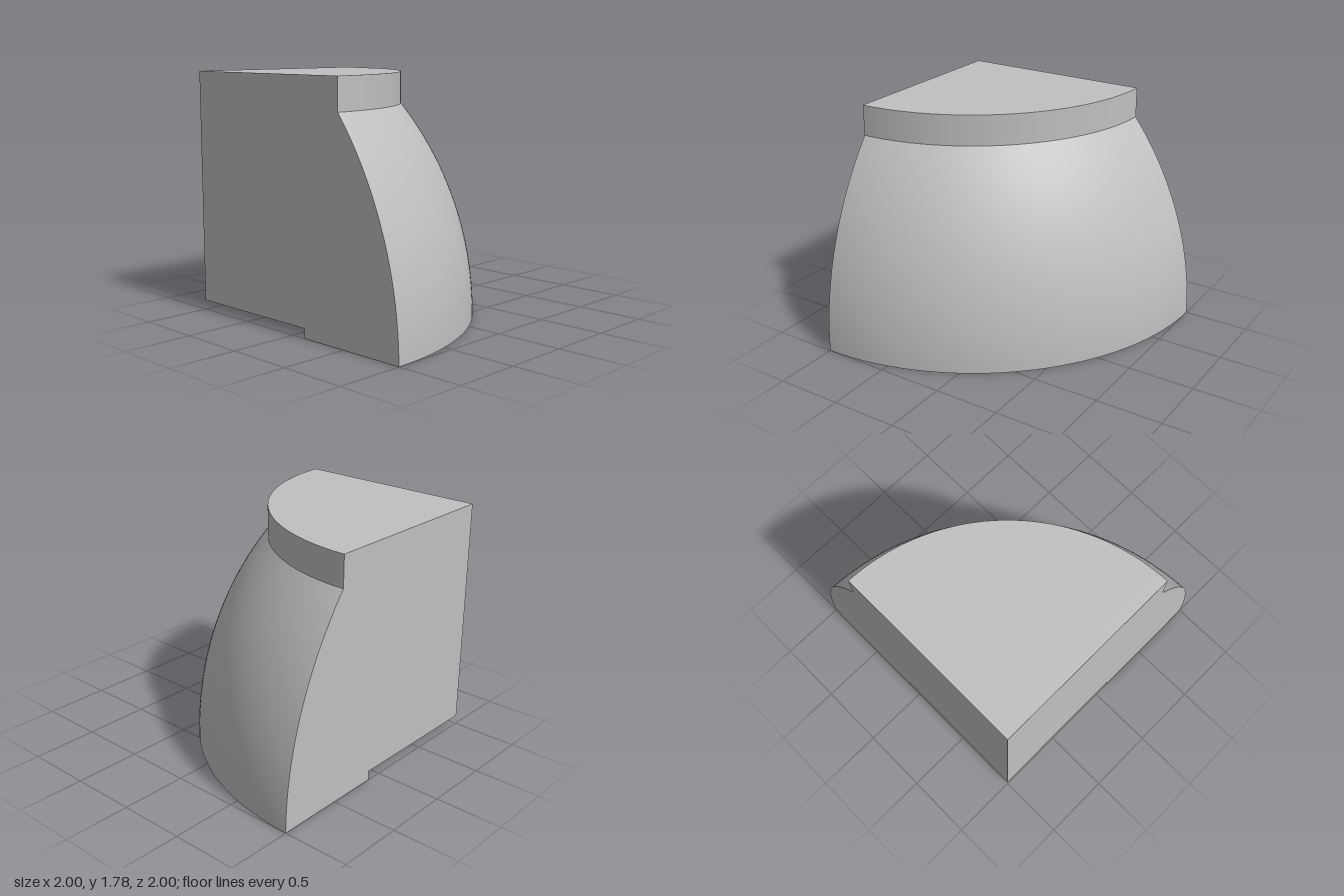
import * as THREE from 'three';

const RECESS_R = 1.12, RECESS_H = 0.07;
const BASE_R = 2, NECK_R = 1.465, NECK_Y = 1.55, TOP_Y = 1.78;
const ARC_R = 2.51; // radius of the curved flank, tangent to vertical at the base

export function createModel() {
  const group = new THREE.Group();
  const grey = new THREE.MeshStandardMaterial({ color: 0xc0c0c0 });
  const V = (r, y) => new THREE.Vector2(r, y);

  const flank = [];
  for (let i = 0; i <= 32; i++) {
    const y = (NECK_Y * i) / 32;
    flank.push(V(BASE_R - ARC_R + Math.sqrt(ARC_R * ARC_R - y * y), y));
  }
  flank[32].x = NECK_R;

  // Closed half-section split at its sharp edges, running counter-clockwise
  const sections = {
    recessCeiling: [V(0, RECESS_H), V(RECESS_R, RECESS_H)],
    recessWall: [V(RECESS_R, RECESS_H), V(RECESS_R, 0)],
    baseRing: [V(RECESS_R, 0), V(BASE_R, 0)],
    curvedFlank: flank,
    collarWall: [V(NECK_R, NECK_Y), V(NECK_R, TOP_Y)],
    topFace: [V(NECK_R, TOP_Y), V(0, TOP_Y)],
  };

  const add = (name, geometry) => {
    const mesh = new THREE.Mesh(geometry, grey);
    mesh.name = name;
    mesh.position.set(-1, 0, -1); // axis sits in the back corner
    group.add(mesh);
  };

  // Quarter-turn surfaces
  for (const [name, points] of Object.entries(sections)) {
    add(name, new THREE.LatheGeometry(points, 48, 0, Math.PI / 2));
  }

  // Flat cut faces through the axis
  const outline = Object.values(sections).flatMap((points) => points.slice(0, -1));
  outline.push(V(0, TOP_Y));
  const cutFace = (sign) =>
    new THREE.ShapeGeometry(new THREE.Shape(outline.map((p) => V(sign * p.x, p.y))));
  add('sideCutFace', cutFace(1).rotateY(-Math.PI / 2));
  add('backCutFace', cutFace(-1).rotateY(Math.PI));

  return group;
}
